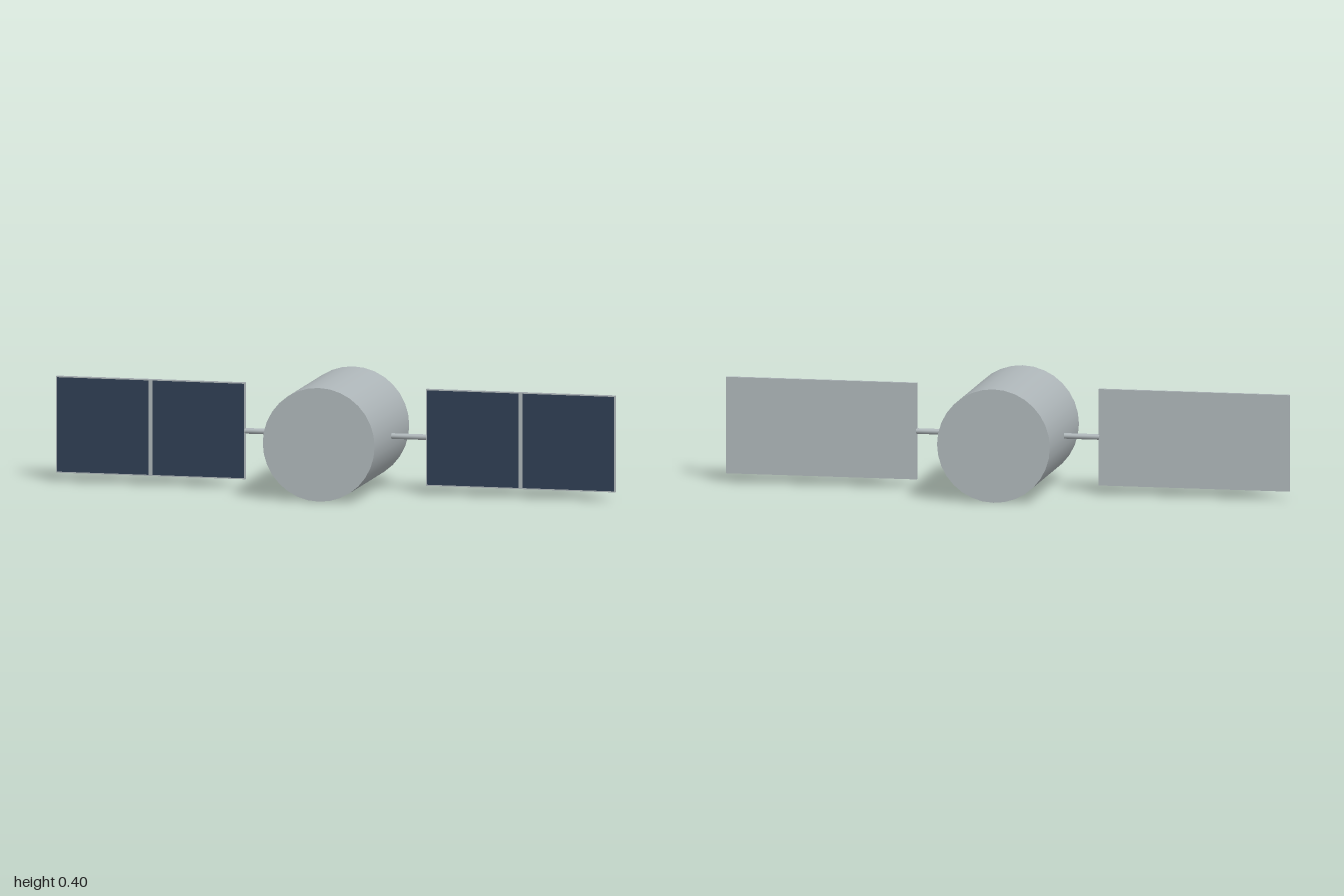
import * as THREE from 'three';

export function createModel() {
  const root = new THREE.Group();
  root.name = 'satellite';
  const metal = new THREE.MeshStandardMaterial({ color: 0xaeb6b9 });
  metal.name = 'light grey metal';
  const navy = new THREE.MeshStandardMaterial({ color: 0x2f3e53 });
  navy.name = 'navy solar cell';

  const add = (parent, name, geometry, material, x, y, z) => {
    const mesh = new THREE.Mesh(geometry, material);
    mesh.name = name;
    mesh.position.set(x, y, z);
    parent.add(mesh);
    return mesh;
  };

  // Drum body lying along z
  const midY = 0.2;
  add(root, 'body', new THREE.CylinderGeometry(0.2, 0.2, 0.52, 32).rotateX(Math.PI / 2), metal, 0, midY, 0);

  // Mirrored wings: boom, panel and two cell plates on the front face
  const inner = 0.323, outer = 1, height = 0.34;
  const width = outer - inner, center = (inner + outer) / 2;
  const rim = 0.004, divider = 0.015;
  const cellWidth = (width - divider) / 2 - rim;
  for (const side of [1, -1]) {
    const wing = new THREE.Group();
    wing.name = side > 0 ? 'leftWing' : 'rightWing';
    wing.position.y = midY;
    root.add(wing);

    const boom = new THREE.CylinderGeometry(0.01, 0.01, 0.145, 12).rotateZ(Math.PI / 2);
    add(wing, 'boom', boom, metal, side * 0.2525, 0, 0);
    add(wing, 'panel', new THREE.BoxGeometry(width, height, 0.012), metal, side * center, 0, 0);
    for (const half of [-1, 1]) {
      const x = center + half * (divider + cellWidth) / 2;
      add(wing, 'solarCell', new THREE.BoxGeometry(cellWidth, height - 2 * rim, 0.002), navy, side * x, 0, 0.006);
    }
  }
  return root;
}
